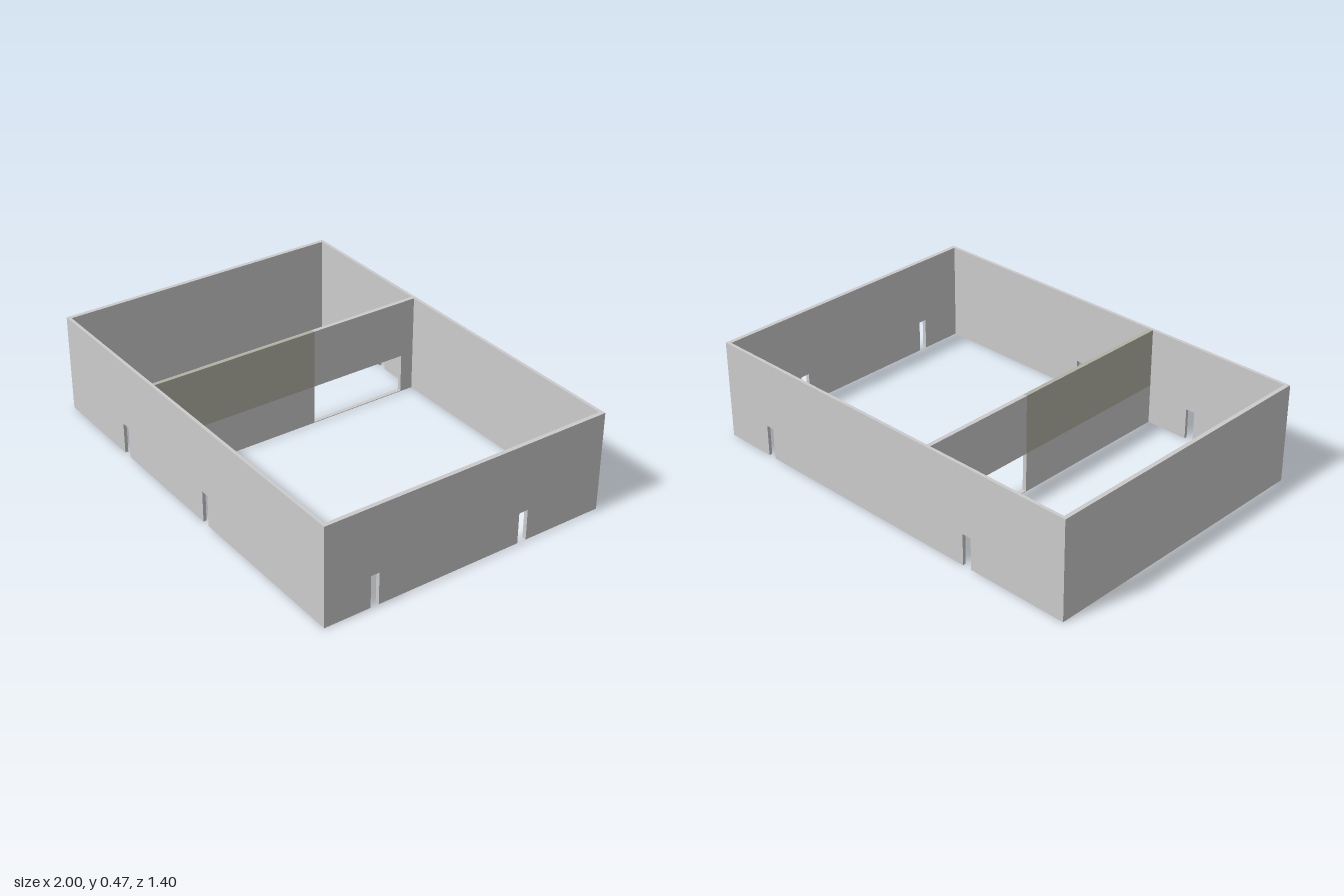
import * as THREE from 'three';

const HEIGHT = 0.47, HALF_X = 1, HALF_Z = 0.7;
const SIDE_T = 0.02, END_T = 0.015;

const plain = new THREE.MeshStandardMaterial({ color: 0xcccccc });
const warm = new THREE.MeshStandardMaterial({ color: 0xb3b1a5 });

// Upright slab from u0 to u1 whose outline is notched from below by doors [from, to, height]
function slab(u0, u1, thickness, doors = []) {
  const s = new THREE.Shape();
  s.moveTo(u0, 0);
  for (const [a, b, h] of doors) {
    s.lineTo(a, 0);
    s.lineTo(a, h);
    s.lineTo(b, h);
    s.lineTo(b, 0);
  }
  s.lineTo(u1, 0);
  s.lineTo(u1, HEIGHT);
  s.lineTo(u0, HEIGHT);
  return new THREE.ExtrudeGeometry(s, { depth: thickness, bevelEnabled: false });
}

function box(name, material, x0, x1, y0, y1, z0, z1) {
  const mesh = new THREE.Mesh(new THREE.BoxGeometry(x1 - x0, y1 - y0, z1 - z0), material);
  mesh.position.set((x0 + x1) / 2, (y0 + y1) / 2, (z0 + z1) / 2);
  mesh.name = name;
  return mesh;
}

export function createModel() {
  const model = new THREE.Group();
  model.name = 'building';

  // Walls across the front and back
  const acrossWall = (name, z, doors) => {
    const mesh = new THREE.Mesh(slab(-HALF_X, HALF_X, END_T, doors), plain);
    mesh.position.z = z;
    mesh.name = name;
    model.add(mesh);
  };
  acrossWall('frontWall', HALF_Z - END_T, [[-0.525, -0.48, 0.15], [0.13, 0.17, 0.15]]);
  acrossWall('backWall', -HALF_Z, [[-0.505, -0.46, 0.15], [0.71, 0.75, 0.15]]);

  // Side walls, fitted between the front and back walls
  const inner = HALF_Z - END_T;
  const sideWall = (name, xMax, doors) => {
    const mesh = new THREE.Mesh(slab(-inner, inner, SIDE_T, doors), plain);
    mesh.rotation.y = -Math.PI / 2;
    mesh.position.x = xMax;
    mesh.name = name;
    model.add(mesh);
  };
  sideWall('leftWall', HALF_X, [[-0.31, -0.265, 0.147], [0.44, 0.48, 0.152]]);
  sideWall('rightWall', -HALF_X + SIDE_T, []);

  // Dividing wall: wide opening at the back, warm grey upper panel at the front
  const x0 = -0.27, x1 = -0.25, split = -0.13, jamb = -0.62, lintel = 0.19;
  const divider = new THREE.Group();
  divider.name = 'dividingWall';
  divider.add(
    box('dividerLowerPanel', plain, x0, x1, 0, lintel, split, inner),
    box('dividerUpperPanel', warm, x0, x1, lintel, HEIGHT, split, inner),
    box('dividerLintel', plain, x0, x1, lintel, HEIGHT, -inner, split),
    box('dividerPost', plain, x0, x1, 0, lintel, -inner, jamb),
    box('threshold', plain, x0, x1, 0, 0.003, jamb, split)
  );
  model.add(divider);

  return model;
}
